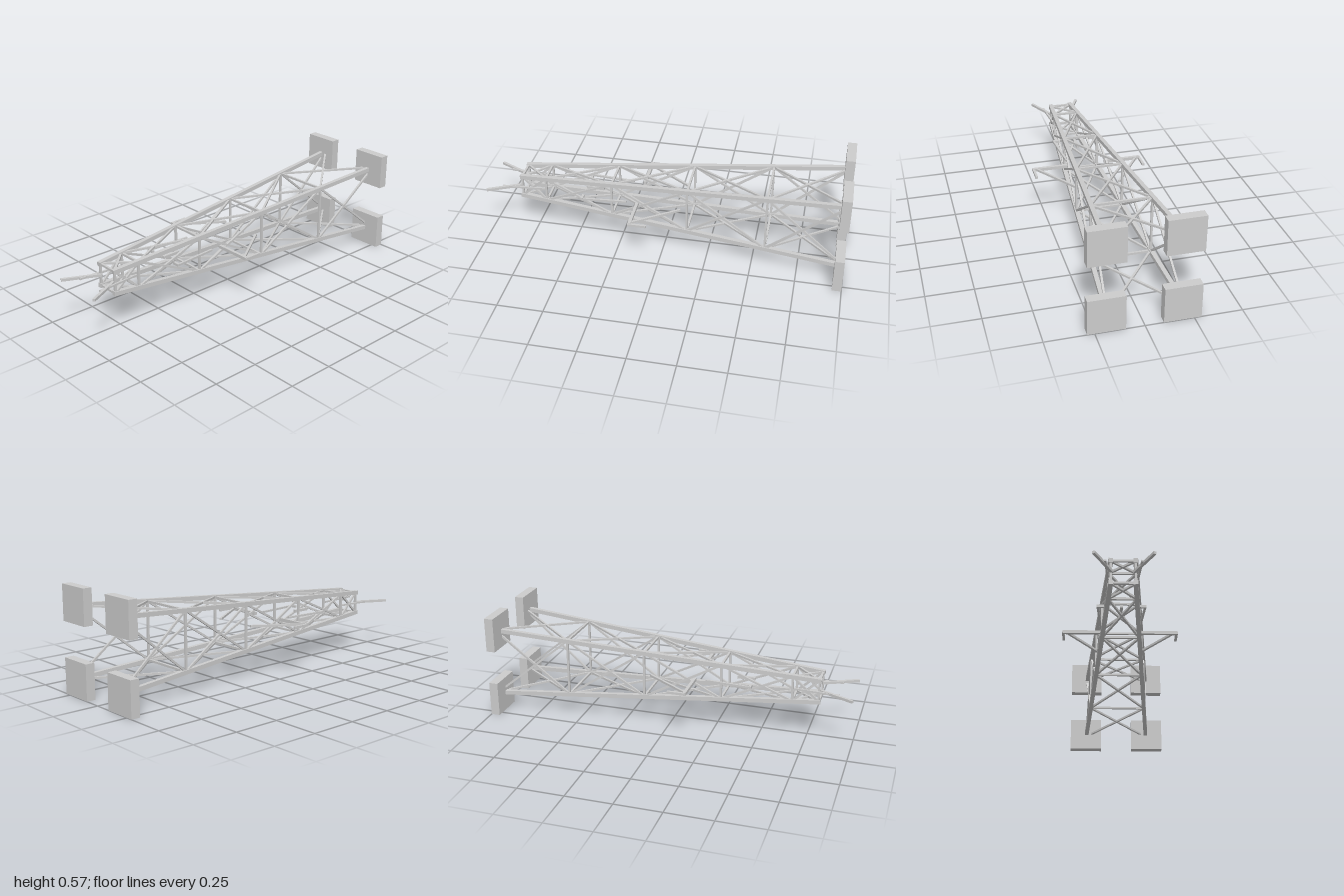
import * as THREE from 'three';

const material = new THREE.MeshStandardMaterial({ color: 0xcccccc, flatShading: true });
const MID = 0.287; // height of the tower's axis, which runs along z

// Half-width of the tapering tower at a given z
const half = (z) => 0.06 + (0.815 - z) * 0.0716;

// Square bar between two points
function beam(name, a, b, size) {
  const p = new THREE.Vector3(...a), q = new THREE.Vector3(...b);
  const mesh = new THREE.Mesh(new THREE.BoxGeometry(size, size, p.distanceTo(q)), material);
  mesh.name = name;
  mesh.position.copy(p).add(q).multiplyScalar(0.5);
  mesh.lookAt(q);
  return mesh;
}

// One lattice face: cross beams and X-braces between the legs
function latticeFace() {
  const face = new THREE.Group();
  face.name = 'latticeFace';
  const levels = [-0.965, -0.57, -0.137, 0.288, 0.67, 0.81];
  levels.forEach((z, i) => {
    const h = half(z);
    if (i > 0) face.add(beam('crossBeam', [-h, h, z], [h, h, z], 0.0115));
    if (i === levels.length - 1) return;
    const z2 = levels[i + 1], h2 = half(z2);
    const w = i === 0 ? 0.165 : h;
    for (const s of [-1, 1]) {
      face.add(beam('diagonalBrace', [s * w, h, z], [-s * h2, h2, z2], 0.011));
    }
  });
  return face;
}

export function createModel() {
  const model = new THREE.Group();
  model.name = 'latticeTower';
  const tower = new THREE.Group();
  tower.name = 'tower';
  tower.position.y = MID;
  model.add(tower);

  // Corner legs with square footings
  for (const sx of [-1, 1]) {
    for (const sy of [-1, 1]) {
      const a = half(-0.998), b = half(0.82);
      tower.add(beam('leg', [sx * a, sy * a, -0.998], [sx * b, sy * b, 0.82], 0.023));
      const foot = new THREE.Mesh(new THREE.BoxGeometry(0.192, 0.192, 0.05), material);
      foot.name = 'footing';
      foot.position.set(sx * 0.191, sy * 0.191, -0.975);
      tower.add(foot);
    }
  }

  // Four identical lattice faces around the axis
  for (let i = 0; i < 4; i++) {
    const face = latticeFace();
    face.rotation.z = i * Math.PI / 2;
    tower.add(face);
  }

  // Side arms, mirrored left and right
  for (const s of [-1, 1]) {
    const arms = new THREE.Group();
    arms.name = s > 0 ? 'leftArms' : 'rightArms';
    arms.add(
      // long lower arm with strut and hanger
      beam('lowerArm', [s * 0.1, 0, 0.143], [s * 0.308, 0, 0.143], 0.017),
      beam('lowerStrut', [s * 0.285, 0, 0.138], [s * 0.122, 0, -0.1], 0.012),
      beam('lowerHanger', [s * 0.306, 0, 0.15], [s * 0.306, 0, 0.05], 0.013),
      // short upper arm with strut
      beam('upperArm', [s * 0.088, 0, 0.452], [s * 0.127, 0, 0.452], 0.014),
      beam('upperStrut', [s * 0.122, 0, 0.452], [s * 0.103, 0, 0.205], 0.011),
      // slanted horn at the tip with strut
      beam('horn', [s * 0.052, 0, 0.81], [s * 0.142, 0, 0.995], 0.014),
      beam('hornStrut', [s * 0.087, 0, 0.92], [s * 0.068, 0, 0.68], 0.01),
    );
    tower.add(arms);
  }

  // Small hanger on the axis
  tower.add(beam('centreHanger', [0, 0, 0.355], [0, 0, 0.455], 0.015));
  return model;
}
